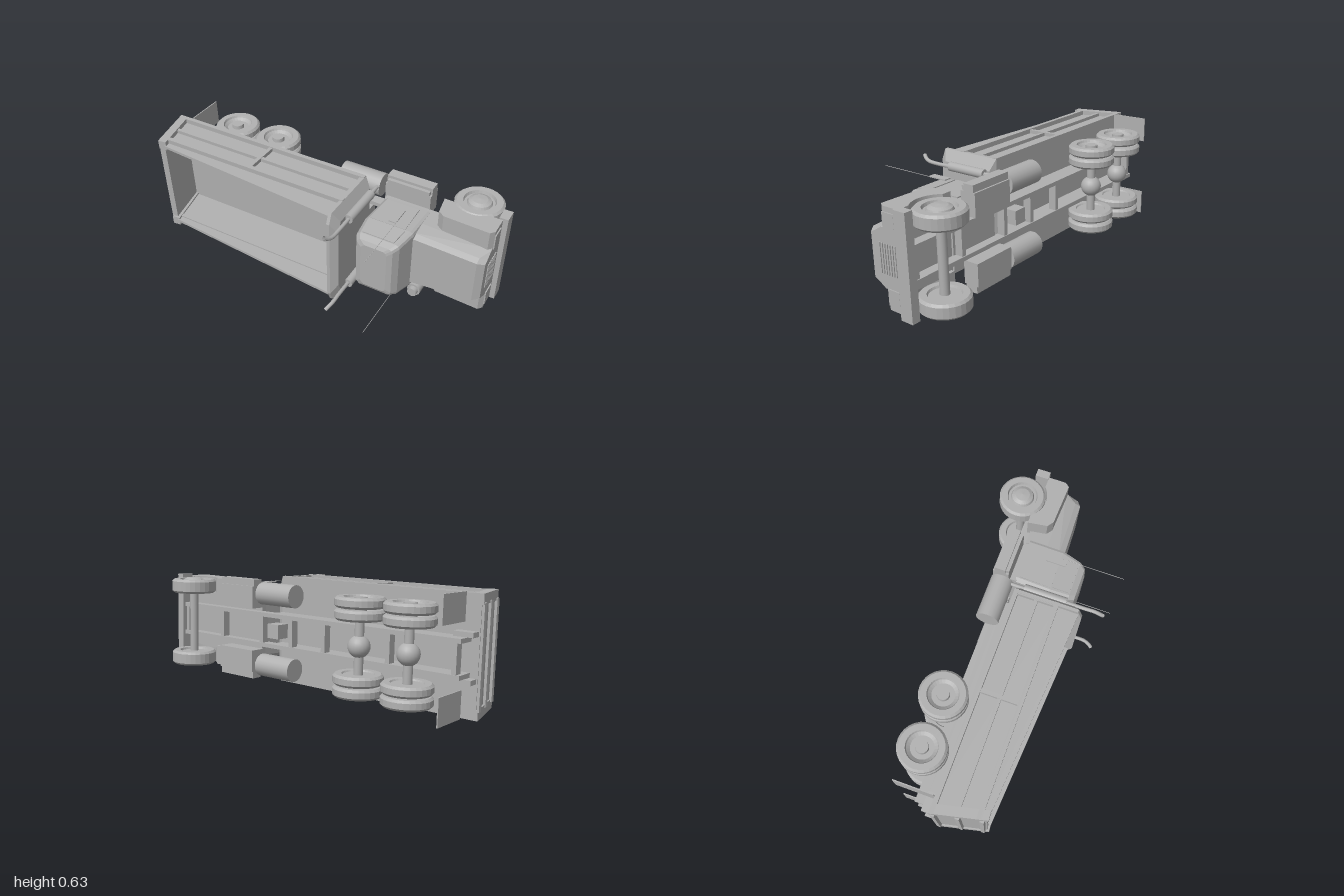
import * as THREE from 'three';

// Truck frame: x forward, y across, z up. The whole truck lies on its side.
export function createModel() {
  const grey = new THREE.MeshStandardMaterial({ color: 0xb0b0b0, side: THREE.DoubleSide });
  grey.name = 'grey';
  const truck = new THREE.Group();
  truck.name = 'dumpTruck';

  const add = (name, geo, x = 0, y = 0, z = 0) => {
    const m = new THREE.Mesh(geo, grey);
    m.name = name;
    m.position.set(x, y, z);
    truck.add(m);
    return m;
  };
  // Box given by its limits
  const box = (name, x0, x1, y0, y1, z0, z1) =>
    add(name, new THREE.BoxGeometry(x1 - x0, Math.abs(y1 - y0), z1 - z0), (x0 + x1) / 2, (y0 + y1) / 2, (z0 + z1) / 2);
  // Side profile of [x, z] points, extruded across from y0 to y1
  const prism = (name, shape, y0, y1) => {
    const a = Math.min(y0, y1), b = Math.max(y0, y1);
    const s = Array.isArray(shape) ? new THREE.Shape(shape.map(p => new THREE.Vector2(...p))) : shape;
    const g = new THREE.ExtrudeGeometry(s, { depth: b - a, bevelEnabled: false, curveSegments: 16 });
    return add(name, g.rotateX(Math.PI / 2), 0, b, 0);
  };
  // Flat-sided skin over equal rings of [x, y, z], capped at both ends
  const loft = (name, rings) => {
    const n = rings[0].length, idx = [];
    for (let r = 0; r < rings.length - 1; r++) {
      for (let i = 0; i < n; i++) {
        const a = r * n + i, b = r * n + (i + 1) % n;
        idx.push(a, b, a + n, b, b + n, a + n);
      }
    }
    const last = (rings.length - 1) * n;
    for (let i = 1; i < n - 1; i++) idx.push(0, i + 1, i, last, last + i, last + i + 1);
    const g = new THREE.BufferGeometry();
    g.setAttribute('position', new THREE.Float32BufferAttribute(rings.flat(2), 3));
    // Turn the faces outward
    const v = i => new THREE.Vector3(...rings[Math.floor(i / n)][i % n]);
    let volume = 0;
    for (let i = 0; i < idx.length; i += 3) volume += v(idx[i]).dot(v(idx[i + 1]).cross(v(idx[i + 2])));
    g.setIndex(volume < 0 ? idx.reverse() : idx);
    const flat = g.toNonIndexed();
    flat.computeVertexNormals();
    return add(name, flat);
  };
  const cyl = (name, r, len, axis, x, y, z) => {
    const g = new THREE.CylinderGeometry(r, r, len, 20);
    if (axis === 'x') g.rotateZ(Math.PI / 2);
    if (axis === 'z') g.rotateX(Math.PI / 2);
    return add(name, g, x, y, z);
  };

  // Cab: rounded rectangles stacked upward [z, rear, front, half width]
  const cabRings = [[-0.11, 0.35, 0.62, 0.18], [0.09, 0.34, 0.615, 0.185], [0.2, 0.35, 0.59, 0.17],
    [0.232, 0.365, 0.568, 0.156], [0.243, 0.395, 0.54, 0.135]];
  loft('cab', cabRings.map(([z, a, b, h]) => {
    const c = 0.02;
    return [[a + c, -h], [b - c, -h], [b - c * 0.3, -h + c * 0.3], [b, -h + c], [b, h - c], [b - c * 0.3, h - c * 0.3],
      [b - c, h], [a + c, h], [a, h - c], [a, -h + c]].map(p => [p[0], p[1], z]);
  }));

  // Hood and nose
  const hoodRing = (x, top, w, z) => [[-w, -0.13], [w, -0.13], [w, -0.01], [top + 0.015, z - 0.03], [top, z],
    [-top, z], [-top - 0.015, z - 0.03], [-w, -0.01]].map(p => [x, ...p]);
  loft('hood', [hoodRing(0.59, 0.15, 0.175, 0.097), hoodRing(0.95, 0.125, 0.16, 0.084),
    hoodRing(0.985, 0.115, 0.155, 0.06)]);
  for (let i = 0; i < 7; i++) box('grilleBar', 0.984, 0.99, -0.078, 0.078, -0.1 + i * 0.017, -0.091 + i * 0.017);
  box('bumper', 0.965, 1.012, -0.272, 0.272, -0.205, -0.13);

  // Wheel profile around its own axle, as [radius, offset]
  const wheel = (name, x, y, z, width, side, dome) => {
    const h = width / 2, R = 0.13;
    const pts = [[0.001, -h * 0.7], [0.08, -h * 0.7], [0.085, -h], [R - 0.012, -h], [R, -h + 0.012], [R, h - 0.012],
      [R - 0.012, h], [0.085, h], [0.08, h * 0.6]];
    if (dome) pts.push([0.066, h * 0.6], [0.06, h * 0.95], [0.04, h * 1.2], [0.001, h * 1.3]);
    else pts.push([0.062, h * 0.1], [0.035, h * 0.1], [0.033, h * 0.9], [0.001, h * 0.9]);
    const g = new THREE.LatheGeometry(pts.map(p => new THREE.Vector2(...p)), 28).toNonIndexed();
    g.computeVertexNormals();
    const m = add(name, g, x, y, z);
    if (side < 0) m.rotation.x = Math.PI;
  };

  const rearAxles = [-0.411, -0.702], axleZ = -0.235;
  for (const s of [1, -1]) {
    // Front fender with wheel arch
    const f = new THREE.Shape();
    f.moveTo(0.985, -0.13);
    f.lineTo(0.985, -0.03);
    f.lineTo(0.965, -0.005);
    f.lineTo(0.72, -0.015);
    f.lineTo(0.685, -0.04);
    f.lineTo(0.668, -0.15);
    f.lineTo(0.72, -0.15);
    f.absarc(0.827, axleZ, 0.138, 2.48, 0.86, true);
    prism('fender', f, s * 0.15, s * 0.262);
    box('headlight', 0.984, 0.991, s * 0.15, s * 0.235, -0.105, -0.03);

    wheel('frontWheel', 0.827, s * 0.215, axleZ, 0.08, s, true);
    for (const x of rearAxles) {
      wheel('innerRearWheel', x, s * 0.163, axleZ, 0.054, s, false);
      wheel('outerRearWheel', x, s * 0.225, axleZ, 0.054, s, false);
    }

    // Door with window
    prism('door', [[0.375, -0.09], [0.56, -0.09], [0.565, 0.09], [0.37, 0.09]], s * 0.18, s * 0.187);
    loft('doorWindow', [0, 0.005].map(d => [[0.375, s * (0.184 + d), 0.1], [0.57, s * (0.184 + d), 0.1],
      [0.555, s * (0.17 + d), 0.195], [0.38, s * (0.17 + d), 0.195]]));

    // Mirror and whip aerial
    box('mirror', 0.49, 0.53, s * 0.24, s * 0.246, 0.02, 0.13);
    cyl('aerial', 0.0015, 0.35, 'z', 0.53, s * 0.243, 0.28);

    // Exhaust stack
    cyl('muffler', 0.025, 0.24, 'z', 0.3, s * 0.225, 0.08);
    const path = new THREE.CatmullRomCurve3([[0.3, 0.225, -0.13], [0.3, 0.225, 0.1], [0.3, 0.222, 0.3],
      [0.3, 0.226, 0.36], [0.29, 0.238, 0.395], [0.282, 0.25, 0.41]].map(p => new THREE.Vector3(p[0], s * p[1], p[2])));
    add('exhaustPipe', new THREE.TubeGeometry(path, 24, 0.011, 8));

    // Step boxes and fuel tanks
    box('stepBox', 0.335, 0.595, s * 0.12, s * 0.245, -0.235, -0.145);
    box('step', 0.335, 0.595, s * 0.23, s * 0.283, -0.225, -0.165);
    box('upperStep', 0.345, 0.585, s * 0.22, s * 0.268, -0.165, -0.145);
    cyl('fuelTank', 0.064, 0.245, 'x', 0.19, s * 0.205, -0.172);

    // Chassis rail, rear bracket and mudflap
    box('chassisRail', -0.95, 0.965, s * 0.075, s * 0.098, -0.19, -0.135);
    box('subframe', -0.95, 0.24, s * 0.075, s * 0.098, -0.135, -0.085);
    box('rearBracket', -0.985, -0.88, s * 0.1, s * 0.125, -0.14, -0.085);
    box('mudflap', -0.912, -0.906, s * 0.165, s * 0.308, -0.3, -0.085);

    // Dump bed side wall, rails, ribs and sloping sideboard
    prism('bedWall', [[-0.99, -0.08], [0.25, -0.08], [0.25, 0.165], [-0.935, 0.165]], s * 0.26, s * 0.277);
    prism('bottomRail', [[-1.0, -0.08], [0.25, -0.08], [0.25, -0.055], [-0.995, -0.055]], s * 0.265, s * 0.303);
    prism('middleRail', [[-0.965, 0.038], [0.25, 0.038], [0.25, 0.058], [-0.96, 0.058]], s * 0.27, s * 0.296);
    prism('topRail', [[-0.945, 0.145], [0.25, 0.145], [0.25, 0.17], [-0.94, 0.17]], s * 0.255, s * 0.303);
    prism('sideboard', [[-0.94, 0.165], [0.25, 0.165], [0.25, 0.285], [-0.93, 0.2]], s * 0.262, s * 0.278);
    prism('rearPost', [[-1.0, -0.08], [-0.95, -0.08], [-0.885, 0.2], [-0.935, 0.205]], s * 0.25, s * 0.303);
    for (const x of [-0.35, 0.225]) box('bedRib', x, x + 0.022, s * 0.27, s * 0.298, -0.06, 0.15);
  }

  // Air cleaner beside the hood
  cyl('airCleaner', 0.037, 0.12, 'z', 0.625, -0.232, 0.0);
  cyl('airCleanerCap', 0.026, 0.03, 'z', 0.625, -0.232, 0.07);
  cyl('airIntake', 0.016, 0.1, 'y', 0.625, -0.19, -0.03);

  // Dump bed floor, tailgate and headboard
  box('bedFloor', -0.985, 0.25, -0.275, 0.275, -0.08, -0.062);
  prism('tailgate', [[-0.99, -0.08], [-0.965, -0.08], [-0.905, 0.19], [-0.93, 0.195]], -0.26, 0.26);
  for (const t of [0.02, 0.46, 0.9]) {
    const x = -0.992 + t * 0.058, z = -0.08 + t * 0.27;
    box('tailgateRail', x - 0.012, x + 0.012, -0.262, 0.262, z, z + 0.022);
  }
  const board = (x, w, z0, z1) => [[-w, z0], [w, z0], [w, z1 - 0.025], [w - 0.06, z1], [-w + 0.06, z1], [-w, z1 - 0.025]]
    .map(p => [x, ...p]);
  loft('headboard', [board(0.232, 0.3, -0.08, 0.305), board(0.25, 0.3, -0.08, 0.305), board(0.285, 0.24, -0.06, 0.275)]);

  // Axles, differentials, crossmembers and drivetrain
  cyl('frontAxle', 0.025, 0.36, 'y', 0.827, 0, axleZ);
  for (const x of rearAxles) {
    cyl('rearAxle', 0.024, 0.38, 'y', x, 0, axleZ);
    add('differential', new THREE.SphereGeometry(0.058, 20, 14), x, 0, axleZ);
  }
  for (const x of [-0.93, -0.56, -0.15, 0.08, 0.3, 0.62, 0.93]) box('crossmember', x, x + 0.025, -0.08, 0.08, -0.185, -0.14);
  box('gearbox', 0.17, 0.25, -0.04, 0.04, -0.2, -0.12);
  box('cabFloor', 0.35, 0.66, -0.17, 0.17, -0.14, -0.105);

  // Lay the truck on its side with a slight tilt
  truck.rotation.set(0.03, 0.076, 0.004);
  truck.position.set(-0.006, 0.323, 0);
  const model = new THREE.Group();
  model.name = 'model';
  model.add(truck);
  return model;
}
